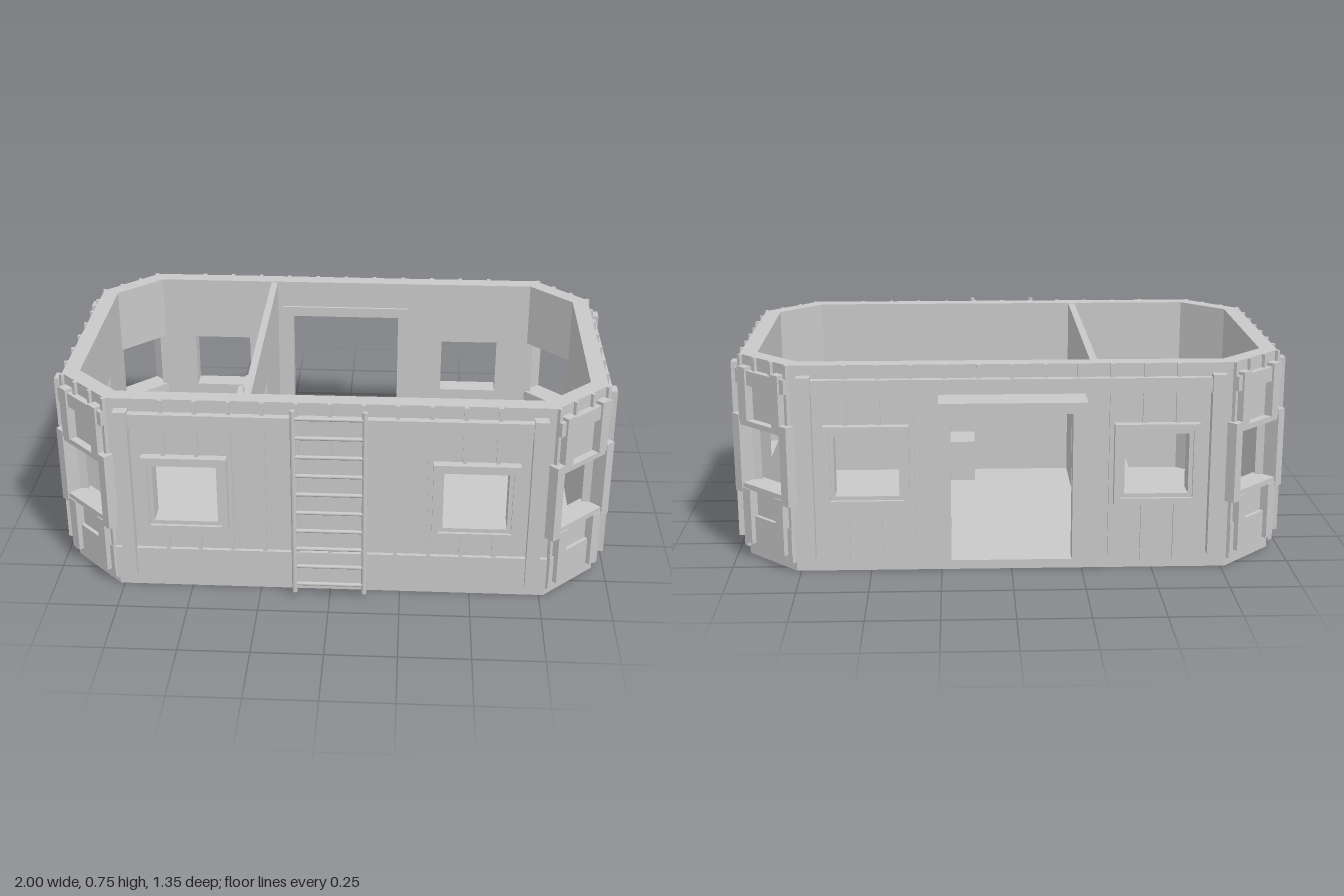
import * as THREE from 'three';

const HX = 0.96, HZ = 0.575, CUT = 0.19, CZ = 0.03; // octagon half sizes, chamfer, centre offset
const BASE = 0.033, TOP = 0.753, WALL = 0.06;
const WIN_Y0 = 0.285, WIN_Y1 = 0.503;
const DOOR = { half: 0.215, top: 0.61 };

const concrete = new THREE.MeshStandardMaterial({ color: 0xc8c8c8 });
concrete.name = 'concrete grey';

function add(parent, name, geometry) {
  const mesh = new THREE.Mesh(geometry, concrete);
  mesh.name = name;
  parent.add(mesh);
  return mesh;
}

// Box given by its limits on each axis
function box(parent, name, x0, x1, y0, y1, z0, z1) {
  const mesh = add(parent, name, new THREE.BoxGeometry(x1 - x0, y1 - y0, z1 - z0));
  mesh.position.set((x0 + x1) / 2, (y0 + y1) / 2, (z0 + z1) / 2);
  return mesh;
}

function rectPath(x0, x1, y0, y1, Type = THREE.Path) {
  return new Type([[x0, y0], [x1, y0], [x1, y1], [x0, y1]].map(p => new THREE.Vector2(...p)));
}

// Flat plate with rectangular holes, from z0 to z1
function plate(parent, name, shape, holes, z0, z1) {
  shape.holes.push(...holes);
  const g = new THREE.ExtrudeGeometry(shape, { depth: z1 - z0, bevelEnabled: false });
  g.translate(0, 0, z0);
  return add(parent, name, g);
}

// Two-step window surround round an opening of half width w
function windowFrame(parent, cx, w, border) {
  const ring = (name, out, inn, z) => plate(parent, name,
    rectPath(cx - w - out, cx + w + out, WIN_Y0 - out, WIN_Y1 + out, THREE.Shape),
    [rectPath(cx - w - inn, cx + w + inn, WIN_Y0 - inn, WIN_Y1 + inn)], -0.01, z);
  ring('windowOuterFrame', border, border * 0.4, 0.032);
  ring('windowInnerFrame', border * 0.4, 0, 0.02);
}

// Wall panel: local +z points outward, local x runs along the wall
function wallPanel(group, len, windows, w, door) {
  const h = len / 2;
  const pts = [[-h, BASE]];
  if (door) pts.push([-DOOR.half, BASE], [-DOOR.half, DOOR.top], [DOOR.half, DOOR.top], [DOOR.half, BASE]);
  pts.push([h, BASE], [h, TOP], [-h, TOP]);
  plate(group, 'wallPanel', new THREE.Shape(pts.map(p => new THREE.Vector2(...p))),
    windows.map(c => rectPath(c - w, c + w, WIN_Y0, WIN_Y1)), -WALL, 0);
}

// Straight wall with windows, battens, bands and end posts
function straightWall(group, len, windows, battens, door) {
  const w = 0.1125, border = 0.037, post = len / 2 - 0.052;
  wallPanel(group, len, windows, w, door);
  windows.forEach(c => windowFrame(group, c, w, border));
  for (const x of battens) {
    const strip = (y0, y1) => box(group, 'batten', x - 0.007, x + 0.007, y0, y1, -0.005, 0.012);
    const atWindow = windows.some(c => Math.abs(x - c) < w + border);
    if (door && Math.abs(x) < 0.25) strip(0.65, TOP); // only above the awning
    else if (atWindow) {
      strip(BASE, WIN_Y0 - border);
      strip(WIN_Y1 + border, TOP);
    } else strip(BASE, TOP);
  }
  box(group, 'topBand', -post, post, 0.652, 0.705, -0.005, 0.026);
  if (!door) box(group, 'bottomBand', -len / 2, len / 2, BASE, 0.163, -0.005, 0.014);
  for (const s of [-1, 1]) {
    box(group, 'endPost', s * post - 0.024, s * post + 0.024, 0.06, 0.717, -0.005, 0.038);
  }
}

// Chamfered corner wall: the wide window frame overhangs the wall ends
function cornerWall(group, len) {
  const w = 0.113;
  wallPanel(group, len, [0], w, false);
  for (const s of [-1, 1]) {
    const upright = (name, c, half, y0, y1, z) => box(group, name, s * c - half, s * c + half, y0, y1, -0.005, z);
    upright('cornerPost', 0.092, 0.021, 0.06, WIN_Y0 - 0.018, 0.032);
    upright('cornerPost', 0.092, 0.021, WIN_Y1 + 0.018, 0.717, 0.032);
    upright('windowJamb', 0.132, 0.019, 0.25, 0.54, 0.034);
    upright('cornerBatten', 0.128, 0.007, BASE, TOP, 0.012);
    upright('topBatten', 0.045, 0.007, 0.7, TOP, 0.012);
  }
  box(group, 'windowSill', -w, w, 0.265, WIN_Y0, -0.005, 0.028);
  box(group, 'windowHead', -w, w, WIN_Y1, 0.523, -0.005, 0.028);
  box(group, 'topBand', -0.135, 0.135, 0.652, 0.705, -0.005, 0.024);
  box(group, 'bottomBand', -0.135, 0.135, 0.06, 0.163, -0.005, 0.014);
}

export function createModel() {
  const model = new THREE.Group();
  model.name = 'octagonalCabin';
  const body = new THREE.Group();
  body.name = 'body';
  body.position.z = CZ;
  model.add(body);

  // Octagonal floor slab
  const x = HX - 0.004, z = HZ - 0.004;
  const floorShape = new THREE.Shape([
    [x - CUT, -z], [x, CUT - z], [x, z - CUT], [x - CUT, z],
    [CUT - x, z], [-x, z - CUT], [-x, CUT - z], [CUT - x, -z],
  ].map(p => new THREE.Vector2(...p)));
  const floor = plate(body, 'floorSlab', floorShape, [], 0, BASE);
  floor.rotation.x = -Math.PI / 2;

  const side = (name, angle, px, pz) => {
    const g = new THREE.Group();
    g.name = name;
    g.rotation.y = angle;
    g.position.set(px, 0, pz);
    body.add(g);
    return g;
  };

  // Long and short walls
  const longBattens = [], shortBattens = [];
  for (let i = -5; i <= 5; i++) longBattens.push(i * 0.116);
  for (let i = -2.5; i <= 2.5; i++) shortBattens.push(i * 0.115);
  const longLen = 2 * (HX - CUT), shortLen = 2 * (HZ - CUT);
  straightWall(side('frontWall', 0, 0, HZ), longLen, [-0.508, 0.508], longBattens, false);
  straightWall(side('backWall', Math.PI, 0, -HZ), longLen, [-0.508, 0.508], longBattens, true);
  for (const s of [-1, 1]) {
    straightWall(side(s > 0 ? 'leftWall' : 'rightWall', s * Math.PI / 2, s * HX, 0), shortLen, [0], shortBattens, false);
    // Corner walls, front and back
    for (const f of [-1, 1]) {
      const angle = Math.atan2(s, f);
      cornerWall(side('cornerWall', angle, s * (HX - CUT / 2), f * (HZ - CUT / 2)), CUT * Math.SQRT2);
    }
  }

  // Awning over the back door, running through the wall
  box(model, 'doorAwning', -0.255, 0.255, 0.608, 0.647, -0.675, -0.475);

  // Interior partition with a doorway (shape x runs along -z)
  const partitionShape = new THREE.Shape([
    [-0.545, BASE], [-0.28, BASE], [-0.28, 0.55], [-0.005, 0.55],
    [-0.005, BASE], [0.485, BASE], [0.485, 0.75], [-0.545, 0.75],
  ].map(p => new THREE.Vector2(...p)));
  const partition = plate(model, 'partition', partitionShape, [], 0, 0.026);
  partition.rotation.y = Math.PI / 2;
  partition.position.x = -0.301;

  // Interior furniture
  box(model, 'counter', -0.45, -0.3, BASE, 0.28, -0.485, -0.1);
  box(model, 'counterScreen', -0.407, -0.392, 0.28, 0.37, -0.4, -0.29);
  box(model, 'counterBox', -0.37, -0.337, 0.28, 0.3, -0.4, -0.29);
  box(model, 'bench', 0.12, 0.41, BASE, 0.2, 0.39, 0.545);

  // Round-bar ladder standing off the front wall
  const ladder = new THREE.Group();
  ladder.name = 'ladder';
  ladder.position.z = 0.666;
  model.add(ladder);
  for (const s of [-1, 1]) {
    const rail = add(ladder, 'ladderRail', new THREE.CylinderGeometry(0.0095, 0.0095, TOP - 0.03, 12));
    rail.position.set(s * 0.123, (TOP + 0.03) / 2, 0);
  }
  for (let i = 0; i < 10; i++) {
    const rung = add(ladder, 'ladderRung', new THREE.CylinderGeometry(0.007, 0.007, 0.24, 10));
    rung.rotation.z = Math.PI / 2;
    rung.position.y = 0.063 + i * 0.0733;
  }
  return model;
}
